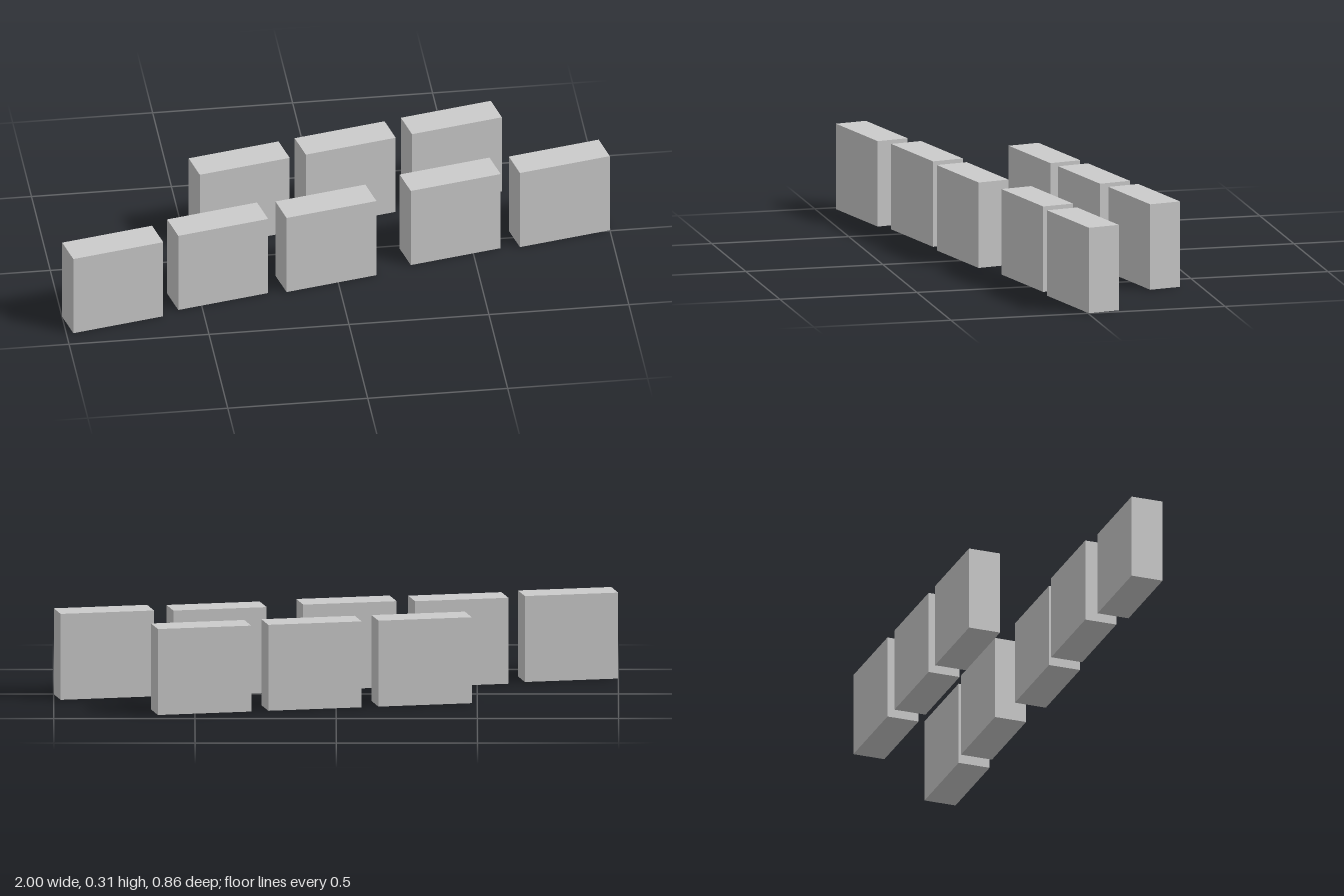
import * as THREE from 'three';

// Two staggered rows of identical upright blocks, all turned by the same angle
export function createModel() {
  const group = new THREE.Group();
  const material = new THREE.MeshStandardMaterial({ color: 0xcccccc, flatShading: true });
  const height = 0.309;
  const block = new THREE.BoxGeometry(0.338, height, 0.1175);
  const turn = THREE.MathUtils.degToRad(12);

  // Block centres as [x, z]
  const rows = {
    frontRow: [[-0.822, 0.336], [-0.433, 0.231], [-0.037, 0.163], [0.423, 0.042], [0.822, -0.026]],
    backRow: [[-0.303, -0.165], [0.087, -0.249], [0.478, -0.335]],
  };

  for (const [name, centres] of Object.entries(rows)) {
    const row = new THREE.Group();
    row.name = name;
    centres.forEach(([x, z], i) => {
      const mesh = new THREE.Mesh(block, material);
      mesh.name = `${name}Block${i + 1}`;
      mesh.position.set(x, height / 2, z);
      mesh.rotation.y = turn;
      row.add(mesh);
    });
    group.add(row);
  }
  return group;
}
